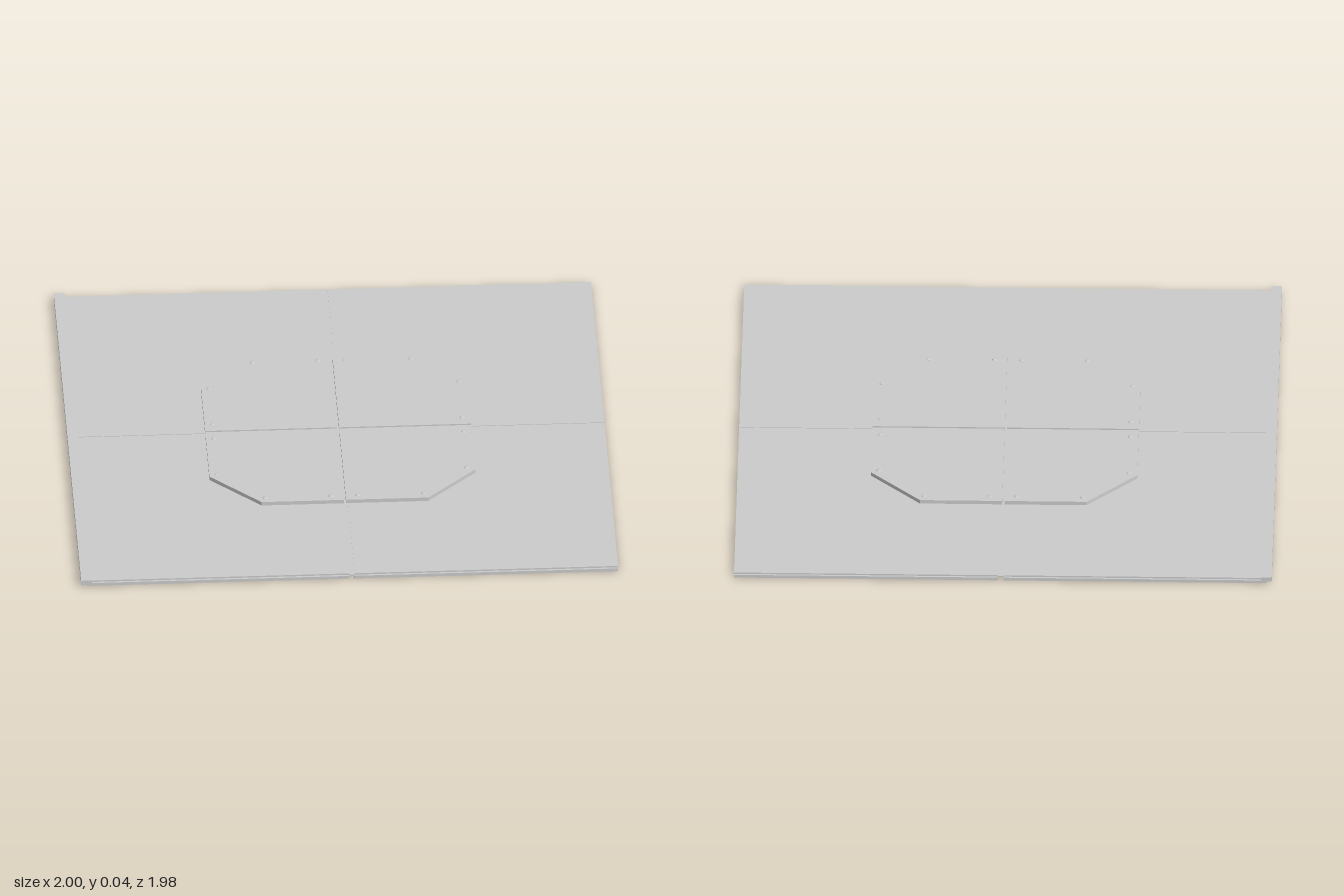
import * as THREE from 'three';

const grey = new THREE.MeshStandardMaterial({ color: 0xcccccc });

function add(group, name, geometry, x = 0, y = 0, z = 0) {
  const mesh = new THREE.Mesh(geometry, grey);
  mesh.name = name;
  mesh.position.set(x, y, z);
  group.add(mesh);
  return mesh;
}

// Box given by its limits on each axis
function block(group, name, [x0, x1], [y0, y1], [z0, z1]) {
  add(group, name, new THREE.BoxGeometry(x1 - x0, y1 - y0, z1 - z0),
    (x0 + x1) / 2, (y0 + y1) / 2, (z0 + z1) / 2);
}

export function createModel() {
  const model = new THREE.Group();
  const cx = 0.008, cz = -0.003;   // where the joints cross
  const top = 0.018;               // upper face of the floor panels
  const joint = 0.011;             // half width of the joint between panels

  // Four floor panels, each with a small lower lip on its outer edge
  for (const [x0, x1] of [[-0.98, cx - joint], [cx + joint, 1]]) {
    block(model, 'floorPanel', [x0, x1], [0, top], [-0.98, cz - joint]);
    block(model, 'floorPanel', [x0, x1], [0, top], [cz + joint, 0.975]);
    block(model, 'edgeLip', [x0, x1], [0, 0.012], [-0.987, -0.98]);
    block(model, 'edgeLip', [x0, x1], [0, 0.012], [0.975, 0.983]);
  }

  // Thin strips bridging the joints, leaving open grooves below
  block(model, 'jointStrip', [cx - joint, cx + joint], [0.014, 0.016], [-0.983, 0.98]);
  for (const [x0, x1] of [[-0.98, cx - joint], [cx + joint, 1]]) {
    block(model, 'jointStrip', [x0, x1], [0.014, 0.016], [cz - joint, cz + joint]);
  }

  // Raised bar overlapping one side edge
  block(model, 'edgeBar', [-1, -0.96], [0.009, 0.028], [-0.99, 0.99]);

  // Octagonal cover in four mirrored quarters with bolts
  const half = 0.495, flat = 0.31, gap = 0.004, thick = 0.015;
  for (const sx of [-1, 1]) {
    for (const sz of [-1, 1]) {
      const outline = [[gap, gap], [half, gap], [half, flat], [flat, half], [gap, half]];
      const shape = new THREE.Shape(outline.map(([x, z]) => new THREE.Vector2(sx * x, -sz * z)));
      const plate = new THREE.ExtrudeGeometry(shape, { depth: thick, bevelEnabled: false });
      plate.rotateX(-Math.PI / 2);
      add(model, 'coverQuarter', plate, cx, top, cz);

      for (const [x, z] of [[0.465, 0.05], [0.465, 0.295], [0.295, 0.465], [0.05, 0.465]]) {
        const bolt = new THREE.SphereGeometry(0.01, 16, 6, 0, Math.PI * 2, 0, Math.PI / 2);
        bolt.scale(1, 0.35, 1);
        add(model, 'bolt', bolt, cx + sx * x, top + thick, cz + sz * z);
      }
    }
  }
  return model;
}
